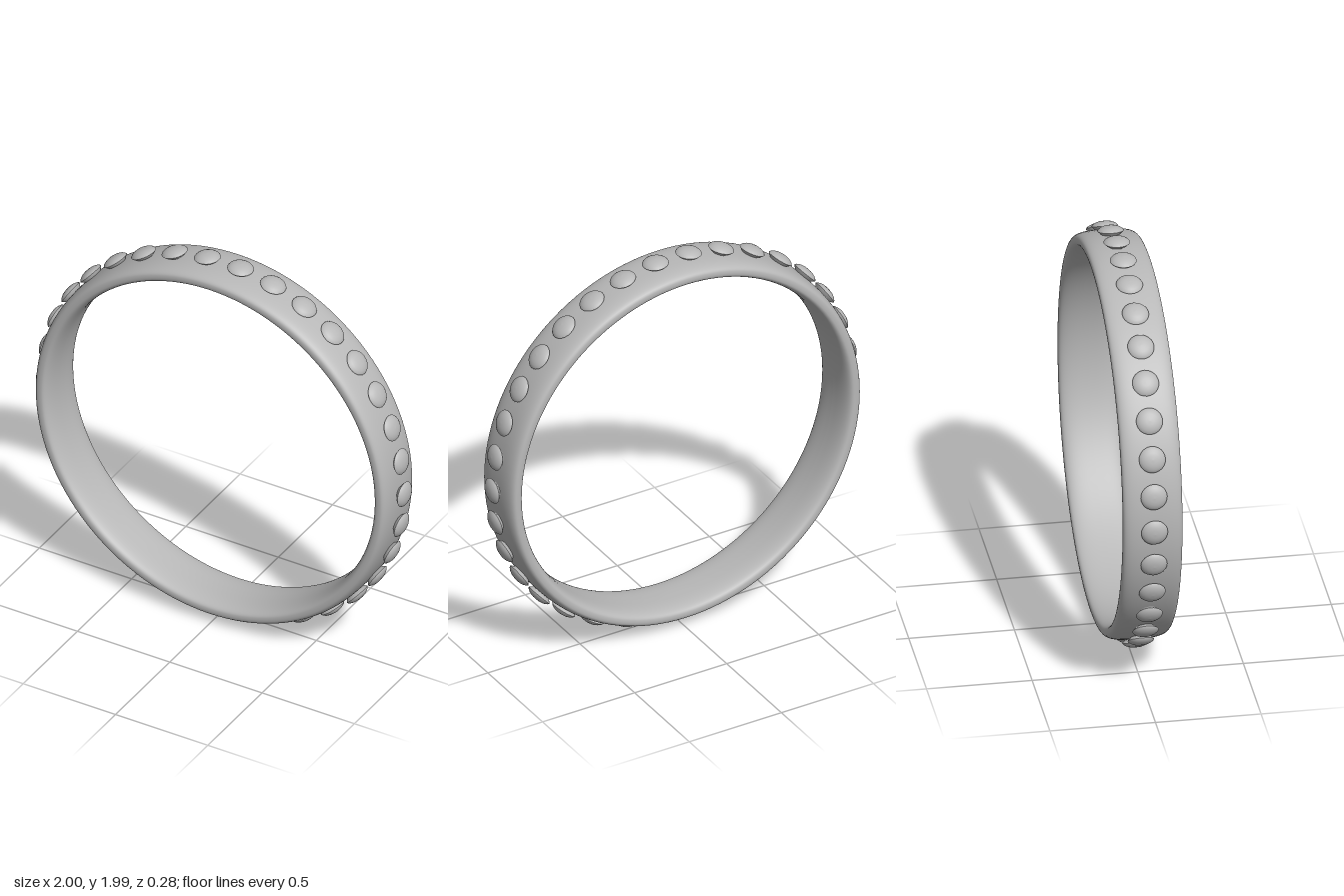
import * as THREE from 'three';

const CENTRE_Y = 0.999;
const STONES = 34;

export function createModel() {
  const model = new THREE.Group();
  model.name = 'studdedRing';
  const metal = new THREE.MeshStandardMaterial({ color: 0xb8b8b8 });
  metal.name = 'grey metal';

  // Band: a soft, rounded-rectangle section turned around the z axis
  const section = [];
  const steps = 48;
  const soft = (v) => Math.sign(v) * Math.pow(Math.abs(v), 2 / 2.8);
  for (let i = 0; i <= steps; i++) {
    const a = Math.PI + (i / steps) * Math.PI * 2;
    section.push(new THREE.Vector2(0.918 + 0.043 * soft(Math.cos(a)), 0.141 * soft(Math.sin(a))));
  }
  const bandGeometry = new THREE.LatheGeometry(section, 128);
  bandGeometry.rotateX(Math.PI / 2);
  const band = new THREE.Mesh(bandGeometry, metal);
  band.name = 'band';
  band.position.y = CENTRE_Y;
  model.add(band);

  // Studs: shallow domes over a tapered underside, evenly spaced round the band
  const domeProfile = [
    [0.063, 0.976], [0.058, 0.983], [0.048, 0.990], [0.034, 0.996], [0.018, 0.999], [0, 1.0],
  ].map(([r, h]) => new THREE.Vector2(r, h));
  const baseProfile = [[0, 0.945], [0.036, 0.950], [0.063, 0.976]]
    .map(([r, h]) => new THREE.Vector2(r, h));
  const domeGeometry = new THREE.LatheGeometry(domeProfile, 24);
  const baseGeometry = new THREE.LatheGeometry(baseProfile, 24);

  const studs = new THREE.Group();
  studs.name = 'studs';
  studs.position.y = CENTRE_Y;
  for (let i = 0; i < STONES; i++) {
    const stud = new THREE.Group();
    stud.name = 'stud';
    const dome = new THREE.Mesh(domeGeometry, metal);
    dome.name = 'studDome';
    const base = new THREE.Mesh(baseGeometry, metal);
    base.name = 'studBase';
    stud.add(dome, base);
    stud.rotation.z = (i / STONES) * Math.PI * 2 - Math.PI / 2;
    studs.add(stud);
  }
  model.add(studs);
  return model;
}
